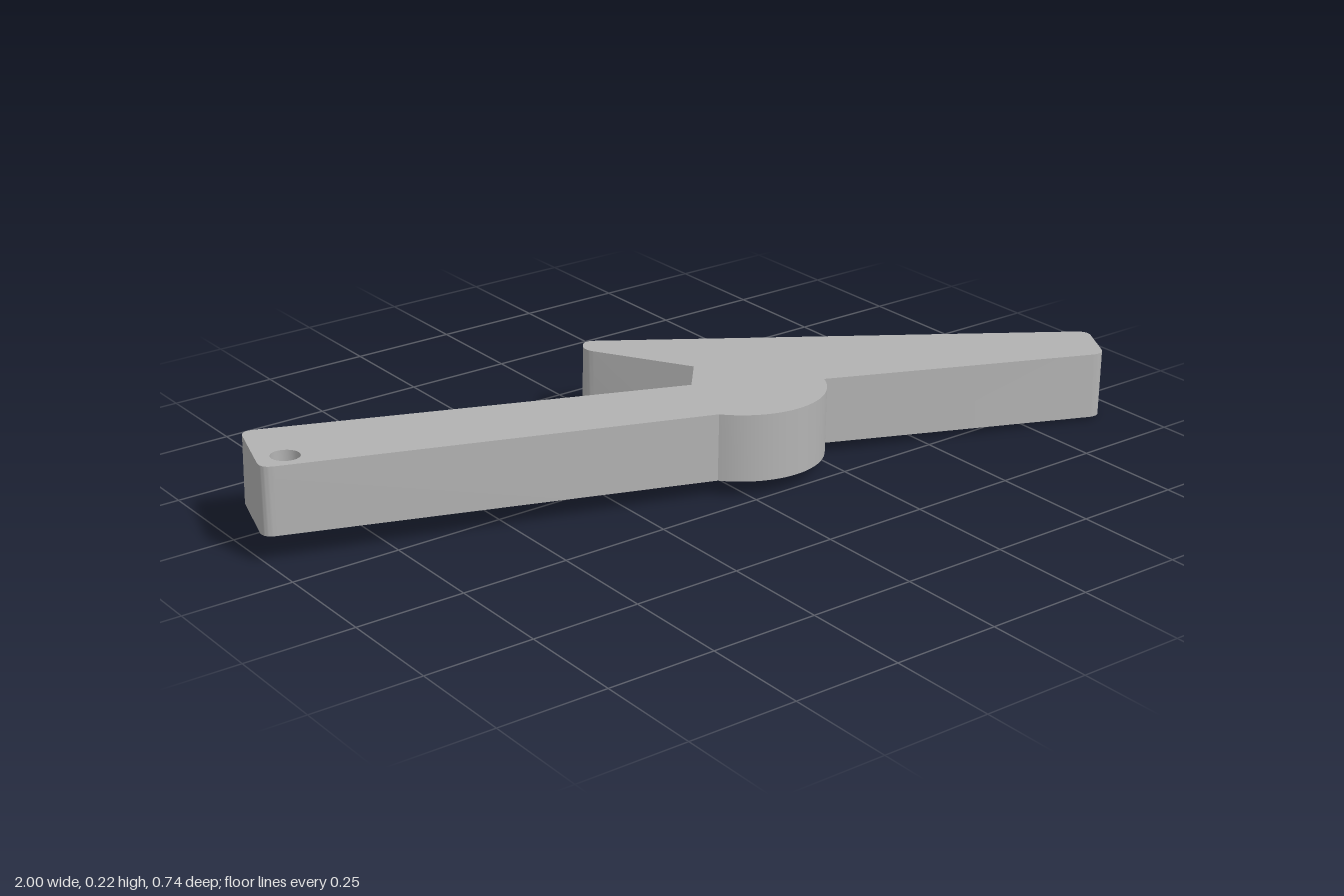
import * as THREE from 'three';
import { toCreasedNormals } from 'three/addons/utils/BufferGeometryUtils.js';

// Closed outline from [x, z, corner cut] points; cut corners are rounded.
function roundedOutline(points) {
  const shape = new THREE.Shape();
  const n = points.length;
  const at = (i) => new THREE.Vector2(points[(i + n) % n][0], -points[(i + n) % n][1]);
  for (let i = 0; i < n; i++) {
    const p = at(i), cut = points[i][2] || 0;
    const a = at(i - 1).sub(p).setLength(cut).add(p);
    const b = at(i + 1).sub(p).setLength(cut).add(p);
    if (i === 0) shape.moveTo(a.x, a.y);
    else shape.lineTo(a.x, a.y);
    if (cut > 0) shape.quadraticCurveTo(p.x, p.y, b.x, b.y);
  }
  shape.closePath();
  return shape;
}

export function createModel() {
  const group = new THREE.Group();
  group.name = 'lever';

  const grey = new THREE.MeshStandardMaterial({ color: 0xb2b2b2 });
  grey.name = 'grey';

  // Round pivot boss on the front edge
  const boss = [];
  for (let i = 0; i <= 24; i++) {
    const t = THREE.MathUtils.lerp(-2.43, -0.434, i / 24);
    boss.push([0.1 + 0.199 * Math.cos(t), 0.053 - 0.199 * Math.sin(t)]);
  }

  const shape = roundedOutline([
    [-0.94, -0.307, 0.03], // end of the long arm
    [-1.007, -0.098, 0.03],
    ...boss,
    [0.926, 0.369, 0.03], // end of the tapered arm
    [1.009, 0.232, 0.03],
    [-0.012, -0.379, 0.025], // hooked tip
    [-0.05, -0.331, 0.03],
    [0.091, -0.094], // notch
    [0.013, 0],
  ]);

  // Pin hole through the long arm
  const hole = new THREE.Path();
  hole.absarc(-0.93, 0.131, 0.032, 0, Math.PI * 2, true);
  shape.holes.push(hole);

  let geometry = new THREE.ExtrudeGeometry(shape, { depth: 1, bevelEnabled: false, curveSegments: 10 });

  // Lay the plate down with its slight tilt and give it its thickness
  const slopeX = -0.037, slopeZ = 0.022, thickness = 0.153;
  const up = new THREE.Vector3(-slopeX, 1, -slopeZ).multiplyScalar(thickness);
  const lay = new THREE.Matrix4().makeBasis(
    new THREE.Vector3(1, slopeX, 0),
    new THREE.Vector3(0, -slopeZ, -1),
    up
  );
  lay.setPosition(-up.x, 0.188 - up.y, -up.z);
  geometry.applyMatrix4(lay);
  geometry = toCreasedNormals(geometry, 0.5);

  const plate = new THREE.Mesh(geometry, grey);
  plate.name = 'leverPlate';
  group.add(plate);
  return group;
}
